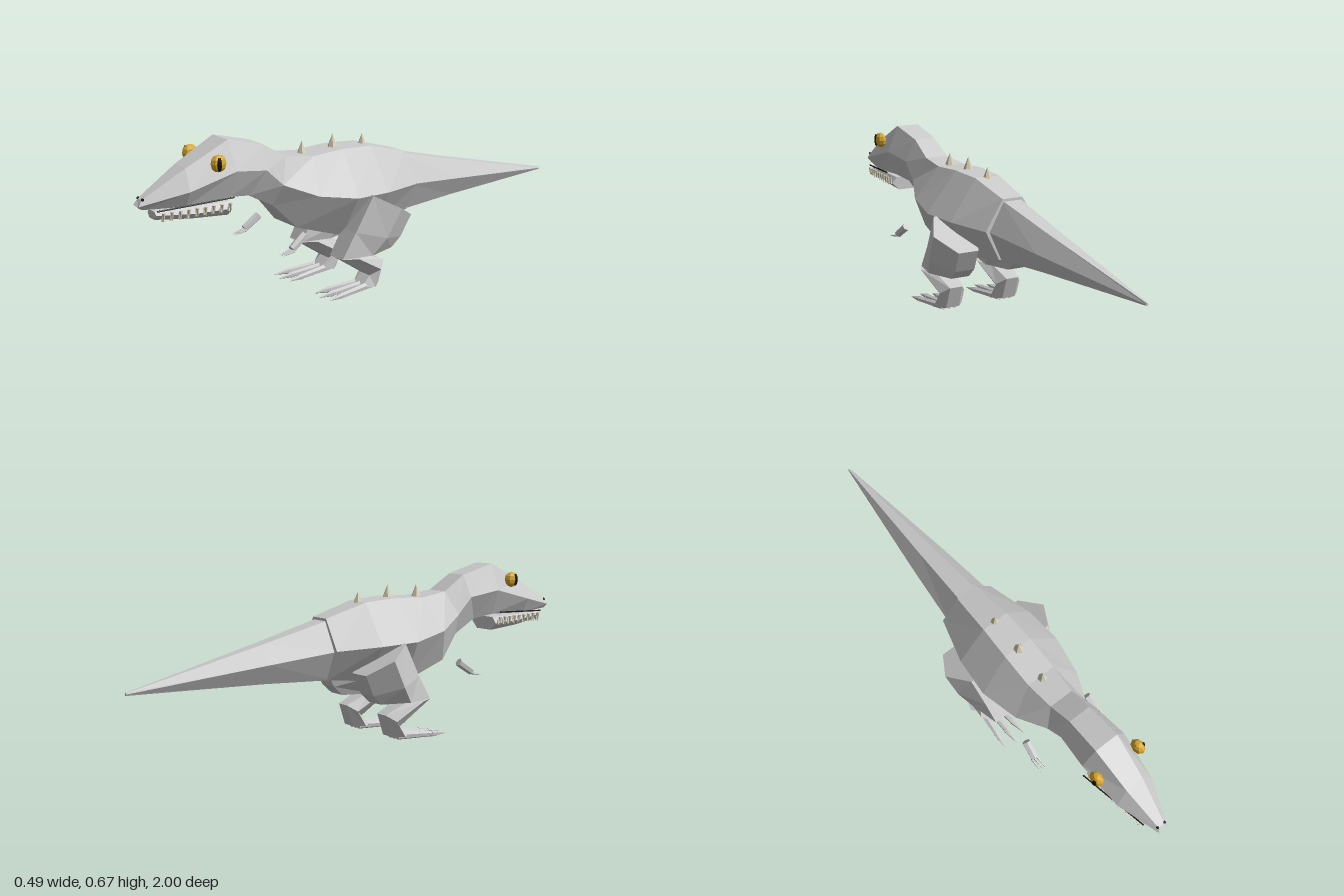
import * as THREE from 'three';

const material = (color) => new THREE.MeshStandardMaterial({ color, flatShading: true });
const V = (x, y, z) => new THREE.Vector3(x, y, z);

// Closed, flat-shaded skin over a row of equally sized rings
function loft(rings) {
  const tris = [];
  const n = rings[0].length;
  for (let i = 0; i < rings.length - 1; i++) {
    const a = rings[i], b = rings[i + 1];
    for (let j = 0; j < n; j++) {
      const k = (j + 1) % n;
      tris.push([a[j], b[j], b[k]], [a[j], b[k], a[k]]);
    }
  }
  const first = rings[0], last = rings[rings.length - 1];
  for (let j = 1; j < n - 1; j++) {
    tris.push([first[0], first[j], first[j + 1]], [last[0], last[j + 1], last[j]]);
  }
  // Turn all faces outward, whichever way the rings run
  const volume = tris.reduce((sum, [a, b, c]) => sum + a.dot(b.clone().cross(c)), 0);
  const points = tris.flatMap(([a, b, c]) => (volume < 0 ? [a, c, b] : [a, b, c]));
  const geometry = new THREE.BufferGeometry().setFromPoints(points);
  geometry.computeVertexNormals();
  return geometry;
}

// Six-sided trunk ring: z, y and half width of its top, sides and bottom
const trunkRing = ([tz, ty, tw, sz, sy, sw, bz, by, bw]) => [
  V(-tw, ty, tz), V(tw, ty, tz), V(sw, sy, sz), V(bw, by, bz), V(-bw, by, bz), V(-sw, sy, sz),
];

// Six-sided limb ring: centre, half width, offset and half width of the front edge
const limbRing = (s, [x, y, z, w, dy, dz, e]) => [
  [-e, 1], [e, 1], [w, 0], [e, -1], [-e, -1], [-w, 0],
].map(([px, f]) => V(s * (x + px), y + f * dy, z + f * dz));

export function createModel() {
  const group = new THREE.Group();
  const skin = material(0xcccccc);
  const ivory = material(0xd9d2b9);
  const black = material(0x111111);
  const gold = material(0xd9a82e);

  const add = (name, geometry, mat = skin, parent = group) => {
    const mesh = new THREE.Mesh(geometry, mat);
    mesh.name = name;
    parent.add(mesh);
    return mesh;
  };

  // Tapered rod from a to b
  const rod = (name, a, b, ra, rb, sides, mat, parent) => {
    const mesh = add(name, new THREE.CylinderGeometry(rb, ra, a.distanceTo(b), sides), mat, parent);
    mesh.position.copy(a).lerp(b, 0.5);
    mesh.quaternion.setFromUnitVectors(V(0, 1, 0), b.clone().sub(a).normalize());
    return mesh;
  };

  // Torso, neck and head in one skin
  add('body', loft([
    [-0.18, 0.492, 0.045, -0.18, 0.372, 0.12, -0.18, 0.255, 0.06],
    [0.0, 0.545, 0.055, 0.0, 0.382, 0.17, -0.01, 0.238, 0.08],
    [0.14, 0.555, 0.06, 0.16, 0.39, 0.183, 0.17, 0.222, 0.09],
    [0.28, 0.55, 0.06, 0.32, 0.42, 0.15, 0.37, 0.29, 0.075],
    [0.4, 0.567, 0.05, 0.44, 0.472, 0.092, 0.46, 0.388, 0.047],
    [0.5, 0.63, 0.046, 0.51, 0.54, 0.088, 0.56, 0.445, 0.045],
    [0.65, 0.67, 0.05, 0.645, 0.562, 0.1, 0.65, 0.46, 0.06],
    [0.82, 0.59, 0.038, 0.83, 0.515, 0.083, 0.83, 0.455, 0.05],
    [0.985, 0.5, 0.014, 1.0, 0.478, 0.02, 0.985, 0.463, 0.013],
  ].map(trunkRing)));

  add('tail', loft([
    [-0.16, 0.487, 0.04, -0.16, 0.37, 0.105, -0.16, 0.252, 0.05],
    [-0.45, 0.412, 0.028, -0.45, 0.338, 0.074, -0.45, 0.262, 0.035],
    [-1, 0.278, 0.003, -1, 0.273, 0.005, -1, 0.268, 0.003],
  ].map(trunkRing)));

  add('lowerJaw', loft([
    [0.655, 0.445, 0.055, 0.655, 0.42, 0.075, 0.655, 0.39, 0.045],
    [0.8, 0.448, 0.045, 0.8, 0.425, 0.06, 0.8, 0.402, 0.035],
    [0.94, 0.45, 0.02, 0.94, 0.437, 0.03, 0.94, 0.42, 0.018],
  ].map(trunkRing)));

  // Spikes along the back
  [[0, 0.535], [0.145, 0.555], [0.29, 0.55]].forEach(([z, y]) =>
    rod('backSpike', V(0, y, z), V(0, y + 0.05, z), 0.02, 0, 6, ivory));

  for (const s of [1, -1]) {
    const side = s > 0 ? 'left' : 'right';

    // Eye with slit pupil
    const eye = add(side + 'Eye', new THREE.SphereGeometry(1, 8, 6), gold);
    eye.scale.set(0.023, 0.032, 0.032);
    eye.position.set(s * 0.097, 0.604, 0.72);
    const pupil = add(side + 'Pupil', new THREE.SphereGeometry(1, 8, 6), black);
    pupil.scale.set(0.006, 0.026, 0.01);
    pupil.position.set(s * 0.115, 0.604, 0.727);

    const nostril = add(side + 'Nostril', new THREE.SphereGeometry(0.006, 6, 4), black);
    nostril.position.set(s * 0.016, 0.5, 0.982);

    // Mouth line and two rows of teeth
    const mouthBack = V(s * 0.1, 0.47, 0.66), mouthFront = V(s * 0.04, 0.455, 0.94);
    rod(side + 'MouthLine', mouthBack, mouthFront, 0.003, 0.003, 5, black);
    const teeth = new THREE.Group();
    teeth.name = side + 'Teeth';
    group.add(teeth);
    for (let i = 0; i < 9; i++) {
      const t = i / 8;
      const x = s * (0.088 - 0.04 * t), z = 0.67 + 0.25 * t;
      rod('upperTooth', V(x, 0.447, z), V(x, 0.41, z), 0.007, 0, 5, ivory, teeth);
      const lx = s * (0.074 - 0.035 * t);
      rod('lowerTooth', V(lx, 0.415, z), V(lx, 0.447, z), 0.006, 0, 5, ivory, teeth);
    }

    // Hind leg: thigh, shin and ankle
    const leg = new THREE.Group();
    leg.name = side + 'Leg';
    group.add(leg);
    const limb = (name, rows) => add(name, loft(rows.map((r) => limbRing(s, r))), skin, leg);
    const ankle = [0.133, 0.085, 0.055, 0.057, -0.025, 0.035, 0.028];
    limb('thigh', [
      [0.145, 0.335, 0, 0.102, 0.055, 0.095, 0.045],
      [0.135, 0.225, 0.06, 0.097, 0.03, 0.11, 0.043],
      [0.133, 0.158, 0.11, 0.073, 0, 0.12, 0.04],
    ]);
    limb('shin', [[0.133, 0.157, 0.175, 0.073, 0, 0.055, 0.04], ankle]);
    limb('ankle', [ankle, [0.133, 0.022, 0.09, 0.065, 0, 0.04, 0.03]]);

    // Three spread toes with claws
    for (const d of [-1, 0, 1]) {
      const at = (spread, y, z) => V(s * 0.133 + d * spread, y, z);
      const tip = 0.25 - Math.abs(d) * 0.015;
      rod('toe', at(0.025, 0.022, 0.08), at(0.043, 0.016, tip), 0.016, 0.011, 6, skin, leg);
      rod('toeClaw', at(0.043, 0.016, tip), at(0.05, 0.012, tip + 0.07), 0.013, 0, 6, skin, leg);
    }

    // Small forearm with three claws
    const arm = new THREE.Group();
    arm.name = side + 'Arm';
    group.add(arm);
    rod('forearm', V(s * 0.152, 0.288, 0.392), V(s * 0.158, 0.245, 0.455), 0.017, 0.015, 6, skin, arm);
    for (const d of [-1, 0, 1]) {
      rod('handClaw', V(s * 0.158 + d * 0.01, 0.24, 0.45),
        V(s * 0.158 + d * 0.012, 0.228, 0.51), 0.006, 0, 5, skin, arm);
    }
  }
  return group;
}
